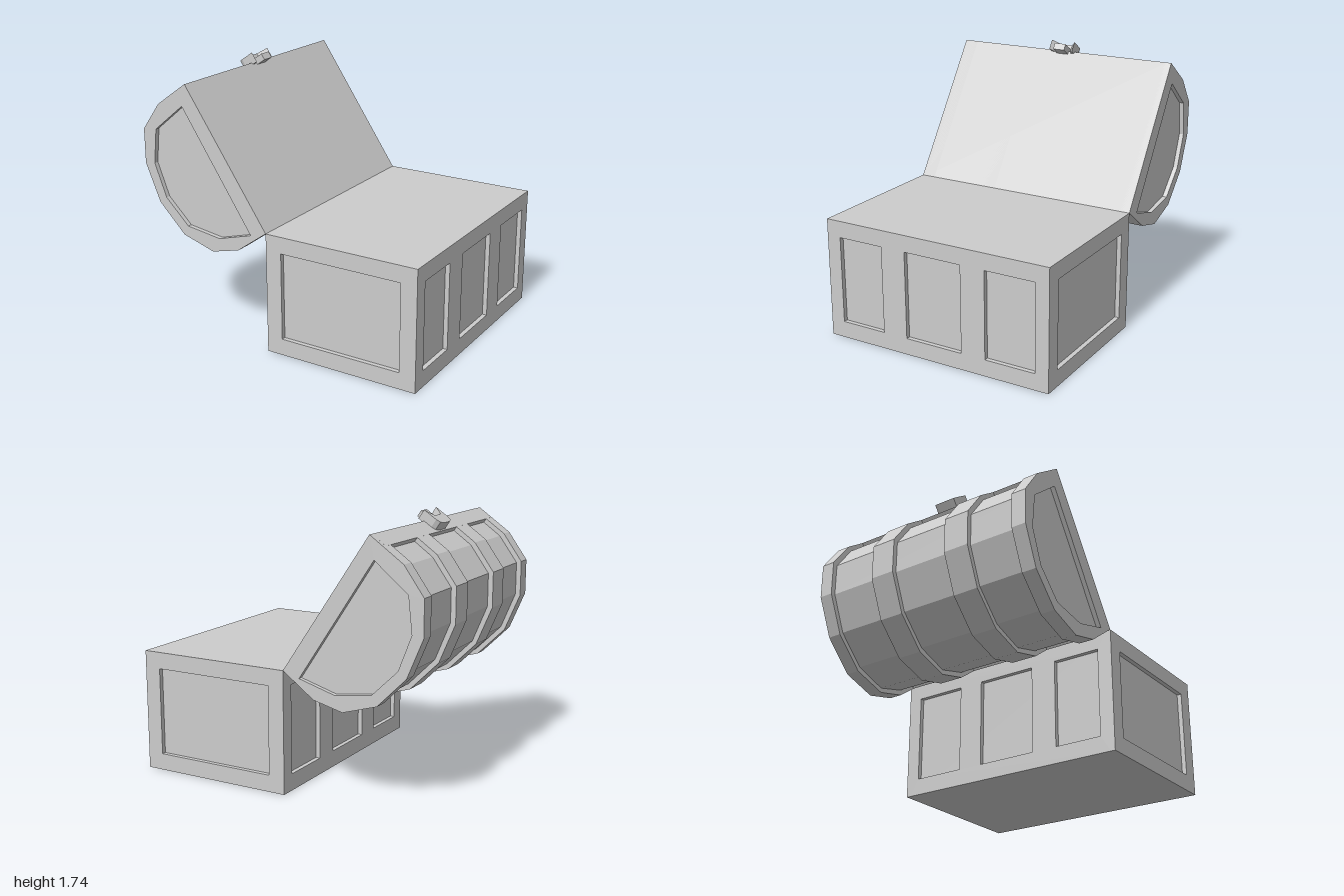
import * as THREE from 'three';

const grey = new THREE.MeshStandardMaterial({ color: 0xcccccc });
grey.name = 'plain grey';

const D = 0.03;          // recess depth
const HZ = 0.803;        // half width along z
const X0 = -0.06, X1 = 1, H = 0.8;
const BANDS = [[-0.71, -0.365], [-0.195, 0.21], [0.385, 0.705]]; // recessed spans along z

const toShape = (pts) => new THREE.Shape(pts.map(([x, y]) => new THREE.Vector2(x, y)));
const rect = (x0, y0, x1, y1) => [[x0, y0], [x1, y0], [x1, y1], [x0, y1]];

// Flat outline with holes, extruded along local z from z0 to z1
function slab(name, outline, holes, z0, z1) {
  const shape = toShape(outline);
  holes.forEach((h) => shape.holes.push(toShape(h)));
  const geo = new THREE.ExtrudeGeometry(shape, { depth: z1 - z0, bevelEnabled: false });
  geo.translate(0, 0, z0);
  const mesh = new THREE.Mesh(geo, grey);
  mesh.name = name;
  return mesh;
}

function makeBase() {
  const base = new THREE.Group();
  base.name = 'chestBase';
  // solid core forms the floors of the recessed panels
  const core = new THREE.Mesh(new THREE.BoxGeometry(X1 - X0 - 2 * D, H, 2 * (HZ - D)), grey);
  core.position.set((X0 + X1) / 2, H / 2, 0);
  core.name = 'baseCore';
  base.add(core);
  // short sides: one framed panel each
  for (const z of [-HZ, HZ - D]) {
    base.add(slab('endFrame', rect(X0, 0, X1, H), [rect(0.05, 0.11, 0.89, 0.69)], z, z + D));
  }
  // long sides: three framed panels each
  const holes = BANDS.map(([a, b]) => rect(-b, 0.11, -a, 0.69));
  for (const x of [X0, X1 - D]) {
    const frame = slab('longFrame', rect(-HZ + D, 0, HZ - D, H), holes, 0, D);
    frame.rotation.y = Math.PI / 2;
    frame.position.x = x;
    base.add(frame);
  }
  return base;
}

function makeLid() {
  const lid = new THREE.Group();
  lid.name = 'openLid';
  // outer arch, from hinge edge to free edge
  const outer = [[-0.06, 0.8], [-0.65, 1.67], [-0.87, 1.515], [-1, 1.335], [-1, 1.105],
    [-0.895, 0.855], [-0.705, 0.665], [-0.475, 0.595], [-0.275, 0.645]];
  // same arch sunk between the ribs, with a raised lip at both edges
  const sunk = [[-0.06, 0.8], [-0.65, 1.67], [-0.74, 1.607], [-0.723, 1.582], [-0.842, 1.497],
    [-0.967, 1.325], [-0.967, 1.112], [-0.87, 0.875], [-0.692, 0.697], [-0.475, 0.626],
    [-0.283, 0.678], [-0.163, 0.763], [-0.146, 0.738]];
  const panel = [[-0.68, 1.525], [-0.9, 1.345], [-0.925, 1.115], [-0.84, 0.895],
    [-0.67, 0.73], [-0.42, 0.695], [-0.175, 0.765]];
  lid.add(slab('lidCore', sunk, [], -HZ + D, HZ - D));
  // end ribs framing the recessed end panels
  lid.add(slab('endRib', outer, [panel], -HZ, BANDS[0][0]));
  lid.add(slab('endRib', outer, [panel], BANDS[2][1], HZ));
  // middle ribs
  for (const i of [0, 1]) lid.add(slab('middleRib', outer, [], BANDS[i][1], BANDS[i + 1][0]));
  return lid;
}

function makeLatch() {
  const latch = new THREE.Group();
  latch.name = 'latch';
  // shield plate: rounded top, notched bottom (local x runs down the lid)
  const shield = [[0.04, -0.088], [-0.025, -0.042], [-0.025, 0.042], [0.04, 0.088],
    [-0.06, 0.088], [-0.088, 0.075], [-0.1, 0.045], [-0.1, -0.045], [-0.088, -0.075], [-0.06, -0.088]];
  latch.add(slab('latchPlate', shield, [], -0.012, 0.057));
  // tongue
  latch.add(slab('latchTongue', rect(-0.04, -0.042, 0.07, 0.042), [], -0.022, 0.023));
  // align with the free edge of the lid
  const down = new THREE.Vector3(0.828, 0.561, 0).normalize();
  const side = new THREE.Vector3(0, 0, -1);
  const out = new THREE.Vector3().crossVectors(down, side);
  latch.quaternion.setFromRotationMatrix(new THREE.Matrix4().makeBasis(down, side, out));
  latch.position.set(-0.65, 1.67, 0.005);
  return latch;
}

export function createModel() {
  const chest = new THREE.Group();
  chest.name = 'openChest';
  chest.add(makeBase(), makeLid(), makeLatch());
  return chest;
}
